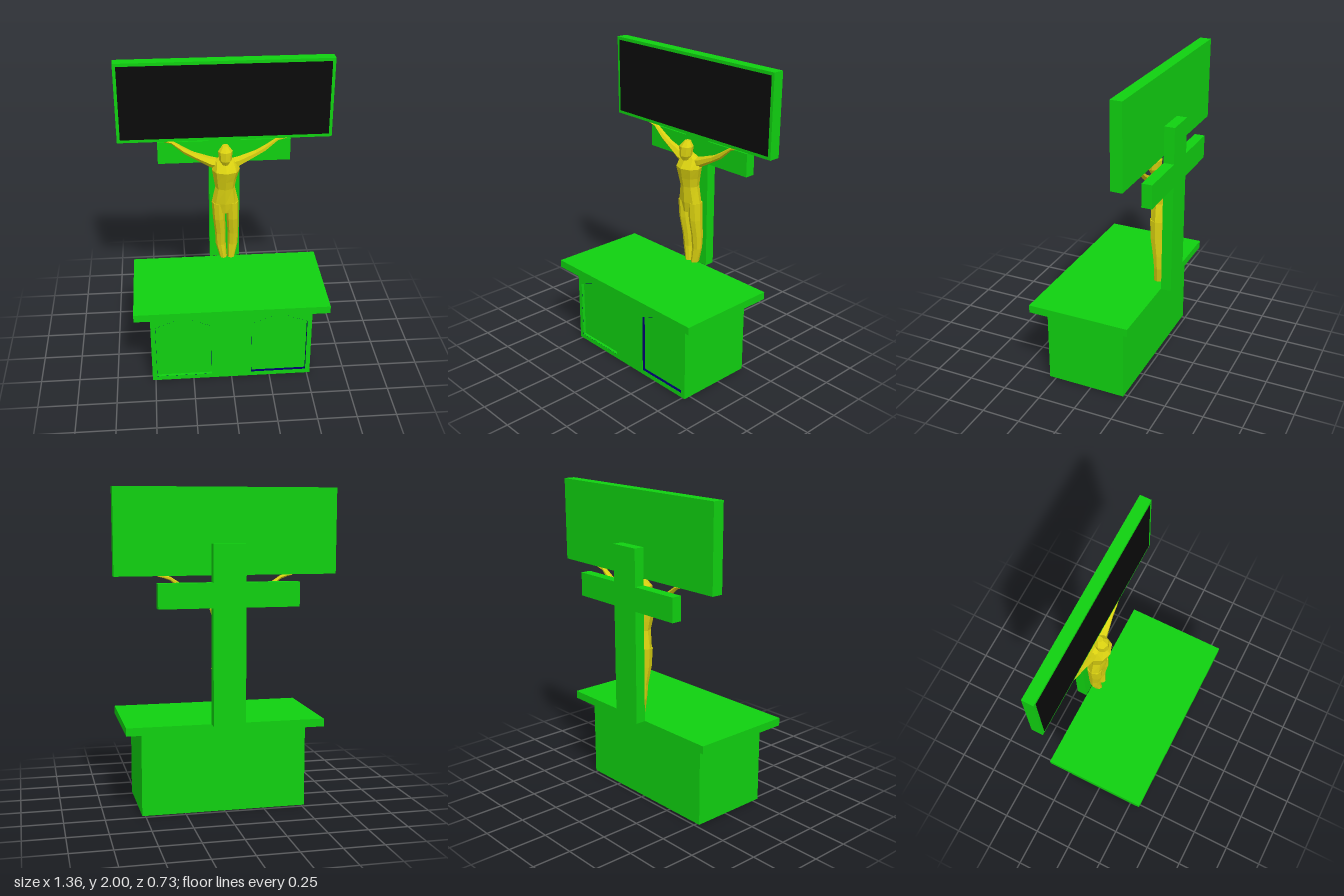
import * as THREE from 'three';

const mat = (color, flat = true) => new THREE.MeshStandardMaterial({ color, flatShading: flat });
const green = mat(0x10d010), gold = mat(0xd9d010), black = mat(0x0a0a0a), navy = mat(0x000066);

// Box given by its limits on each axis
function box(name, [x0, x1], [y0, y1], [z0, z1], material = green) {
  const m = new THREE.Mesh(new THREE.BoxGeometry(x1 - x0, y1 - y0, z1 - z0), material);
  m.position.set((x0 + x1) / 2, (y0 + y1) / 2, (z0 + z1) / 2);
  m.name = name;
  return m;
}

// Capped loft through rings [x, y, z, ru, rv]; u x v must point along the loft
function loft(name, rings, u, v, sides) {
  const pos = [], idx = [];
  const add = (x, y, z) => pos.push(x, y, z);
  for (const [x, y, z, ru, rv] of rings) {
    for (let i = 0; i < sides; i++) {
      const a = (i / sides) * Math.PI * 2, c = Math.cos(a) * ru, s = Math.sin(a) * rv;
      add(x + u[0] * c + v[0] * s, y + u[1] * c + v[1] * s, z + u[2] * c + v[2] * s);
    }
  }
  for (let r = 0; r < rings.length - 1; r++) {
    for (let i = 0; i < sides; i++) {
      const a = r * sides + i, b = r * sides + (i + 1) % sides;
      idx.push(a, b, b + sides, a, b + sides, a + sides);
    }
  }
  const last = (rings.length - 1) * sides;
  for (let i = 1; i < sides - 1; i++) {
    idx.push(0, i + 1, i, last, last + i, last + i + 1);
  }
  const g = new THREE.BufferGeometry();
  g.setAttribute('position', new THREE.Float32BufferAttribute(pos, 3));
  g.setIndex(idx);
  g.computeVertexNormals();
  const m = new THREE.Mesh(g, gold);
  m.name = name;
  return m;
}

const X = [1, 0, 0], Y = [0, 1, 0], Z = [0, 0, 1];

// Pointed panel outline, shrunk by d on all sides
function panelPoints(side, d) {
  return [[0.13 + d, 0.03 + d], [0.49 - d, 0.03 + d], [0.49 - d, 0.42 - d], [0.31, 0.49 - d], [0.13 + d, 0.42 - d]]
    .map(([x, y]) => new THREE.Vector2(side * x, y));
}

function createTable() {
  const table = new THREE.Group();
  table.name = 'table';
  const depth = 0.02, front = 0.295;
  table.add(box('tableBody', [-0.52, 0.52], [0, 0.525], [-0.225, front - depth]));

  // Front board with two pointed recesses
  const board = new THREE.Shape([[-0.52, 0], [0.52, 0], [0.52, 0.525], [-0.52, 0.525]].map(p => new THREE.Vector2(...p)));
  for (const side of [-1, 1]) {
    board.holes.push(new THREE.Path(panelPoints(side, 0)));
    // Dark lining of the recess walls
    const rim = new THREE.Shape(panelPoints(side, 0));
    rim.holes.push(new THREE.Path(panelPoints(side, 0.001)));
    const lining = new THREE.Mesh(new THREE.ExtrudeGeometry(rim, { depth: depth - 0.001, bevelEnabled: false }), navy);
    lining.position.z = front - depth;
    lining.name = side > 0 ? 'leftRecessLining' : 'rightRecessLining';
    table.add(lining);
  }
  const boardMesh = new THREE.Mesh(new THREE.ExtrudeGeometry(board, { depth, bevelEnabled: false }), green);
  boardMesh.position.z = front - depth;
  boardMesh.name = 'frontBoard';
  table.add(boardMesh);

  // Overhanging top with a dark underside
  table.add(box('tableTop', [-0.62, 0.62], [0.525, 0.575], [-0.297, 0.365],
    [green, green, green, navy, green, green]));
  return table;
}

function createCross() {
  const cross = new THREE.Group();
  cross.name = 'cross';
  const z = [-0.365, -0.299];
  cross.add(box('upright', [-0.1, 0.1], [0.575, 1.67], z));
  for (const s of [-1, 1]) {
    cross.add(box(s > 0 ? 'leftCrossArm' : 'rightCrossArm', s > 0 ? [0.1, 0.43] : [-0.43, -0.1], [1.29, 1.44], z));
  }
  return cross;
}

function createScreen() {
  const screen = new THREE.Group();
  screen.name = 'screen';
  screen.add(box('screenCase', [-0.68, 0.68], [1.48, 2], [-0.295, -0.222]));
  screen.add(box('screenPanel', [-0.66, 0.66], [1.5, 1.98], [-0.225, -0.22], black));
  return screen;
}

function createFigure() {
  const figure = new THREE.Group();
  figure.name = 'figure';

  // Torso, from the hips to the neck
  figure.add(loft('torso', [
    [0, 0.96, -0.245, 0.045, 0.055],
    [0, 1.03, -0.245, 0.055, 0.088],
    [0, 1.14, -0.24, 0.058, 0.064],
    [0, 1.2, -0.235, 0.067, 0.074],
    [0.005, 1.27, -0.225, 0.075, 0.09],
    [0, 1.33, -0.24, 0.045, 0.075],
    [0, 1.36, -0.235, 0.022, 0.025],
  ], Z, X, 8));

  // Head, leaning forward
  figure.add(loft('head', [
    [0, 1.32, -0.195, 0.02, 0.02],
    [0, 1.35, -0.2, 0.042, 0.04],
    [0, 1.41, -0.205, 0.045, 0.047],
    [0, 1.445, -0.215, 0.022, 0.02],
  ], Z, X, 8));

  for (const s of [-1, 1]) {
    const side = s > 0 ? 'left' : 'right';
    // Raised arm, tapering to the hand
    const arm = [
      [0.03, 1.3, -0.25, 0.035, 0.04],
      [0.09, 1.315, -0.25, 0.035, 0.04],
      [0.2, 1.365, -0.255, 0.022, 0.027],
      [0.26, 1.4, -0.255, 0.022, 0.024],
      [0.34, 1.462, -0.255, 0.012, 0.016],
      [0.38, 1.474, -0.255, 0.009, 0.022],
      [0.415, 1.478, -0.25, 0.004, 0.01],
    ].map(([x, y, z, ry, rz]) => s > 0 ? [x, y, z, ry, rz] : [-x, y, z, rz, ry]);
    figure.add(loft(side + 'Arm', arm, s > 0 ? Y : Z, s > 0 ? Z : Y, 6));

    // Leg, with both feet turned slightly to one side
    figure.add(loft(side + 'Leg', [
      [0.015 + s * 0.026, 0.6, -0.256, 0.03, 0.024],
      [0.012 + s * 0.04, 0.7, -0.262, 0.032, 0.034],
      [0.012 + s * 0.042, 0.79, -0.26, 0.04, 0.036],
      [0.005 + s * 0.045, 0.91, -0.247, 0.048, 0.04],
      [s * 0.045, 1.03, -0.245, 0.05, 0.043],
    ], Z, X, 8));
  }
  return figure;
}

export function createModel() {
  const model = new THREE.Group();
  model.name = 'altar';
  model.add(createTable(), createCross(), createScreen(), createFigure());
  return model;
}
